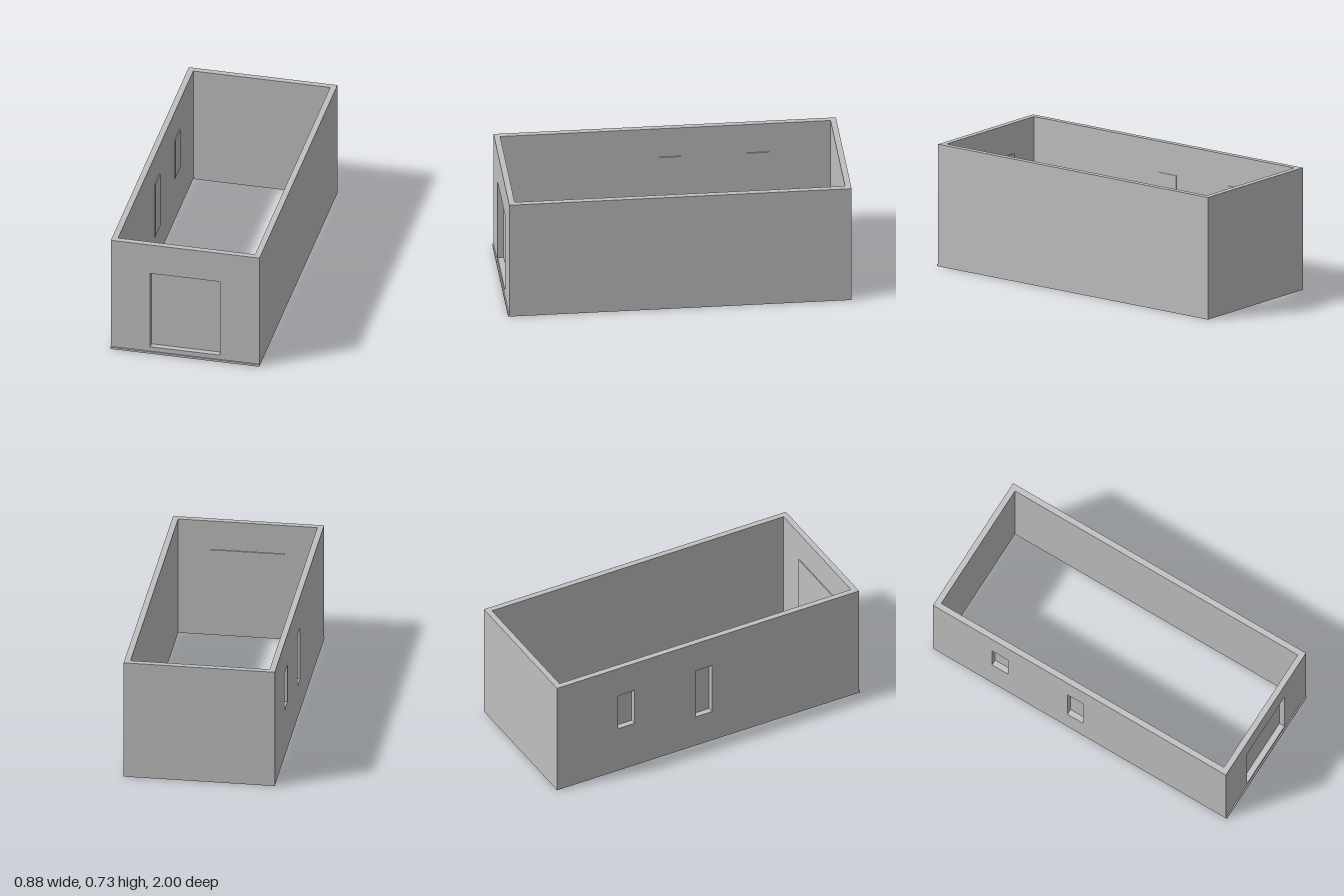
import * as THREE from 'three';

// Overall shell dimensions
const X_OUT = 0.442, X_IN = 0.407;
const Z_BACK = -1, Z_FRONT = 0.993, T = 0.035;
const H = 0.73;
const PANEL_T = 0.006, LAP = 0.01; // closing panels overlap their openings inside

const door = { u0: -0.208, u1: 0.206, y0: 0.042, y1: 0.538 };
const windows = [
  { u0: -0.598, u1: -0.489, y0: 0.30, y1: 0.535 },
  { u0: -0.085, u1: 0.022, y0: 0.205, y1: 0.535 },
];

// Upright wall in the (u, y) plane with rectangular openings, thickened by T
function wallGeometry(u0, u1, openings = []) {
  const rect = (P, a, b, c, d) => new P([
    new THREE.Vector2(a, c), new THREE.Vector2(b, c),
    new THREE.Vector2(b, d), new THREE.Vector2(a, d),
  ]);
  const shape = rect(THREE.Shape, u0, u1, 0, H);
  for (const o of openings) shape.holes.push(rect(THREE.Path, o.u0, o.u1, o.y0, o.y1));
  return new THREE.ExtrudeGeometry(shape, { depth: T, bevelEnabled: false });
}

// Thin panel covering an opening, centred at depth 0
function panelGeometry(o) {
  const g = new THREE.BoxGeometry(o.u1 - o.u0 + 2 * LAP, o.y1 - o.y0 + 2 * LAP, PANEL_T);
  return g.translate((o.u0 + o.u1) / 2, (o.y0 + o.y1) / 2, 0);
}

export function createModel() {
  const group = new THREE.Group();
  const grey = new THREE.MeshStandardMaterial({ color: 0xc0c0c0 });
  grey.name = 'plain grey';

  const add = (name, geometry) => {
    const mesh = new THREE.Mesh(geometry, grey);
    mesh.name = name;
    group.add(mesh);
  };

  // Long side walls; the one on -x carries the windows
  add('leftWall', wallGeometry(Z_BACK, Z_FRONT).rotateY(-Math.PI / 2).translate(X_OUT, 0, 0));
  add('rightWall', wallGeometry(Z_BACK, Z_FRONT, windows).rotateY(-Math.PI / 2).translate(-X_IN, 0, 0));

  // End walls fitted between the sides
  add('backWall', wallGeometry(-X_IN, X_IN).translate(0, 0, Z_BACK));
  add('frontWall', wallGeometry(-X_IN, X_IN, [door]).translate(0, 0, Z_FRONT - T));

  // Recessed door and window panels on the inner wall faces
  add('doorPanel', panelGeometry(door).translate(0, 0, Z_FRONT - T - PANEL_T / 2));
  windows.forEach((w, i) => add(`windowPanel${i + 1}`,
    panelGeometry(w).rotateY(-Math.PI / 2).translate(-X_IN + PANEL_T / 2, 0, 0)));

  // Low sill strip along the foot of the front
  add('frontSill', new THREE.BoxGeometry(2 * X_OUT, 0.013, 1 - Z_FRONT)
    .translate(0, 0.0065, (1 + Z_FRONT) / 2));

  return group;
}
